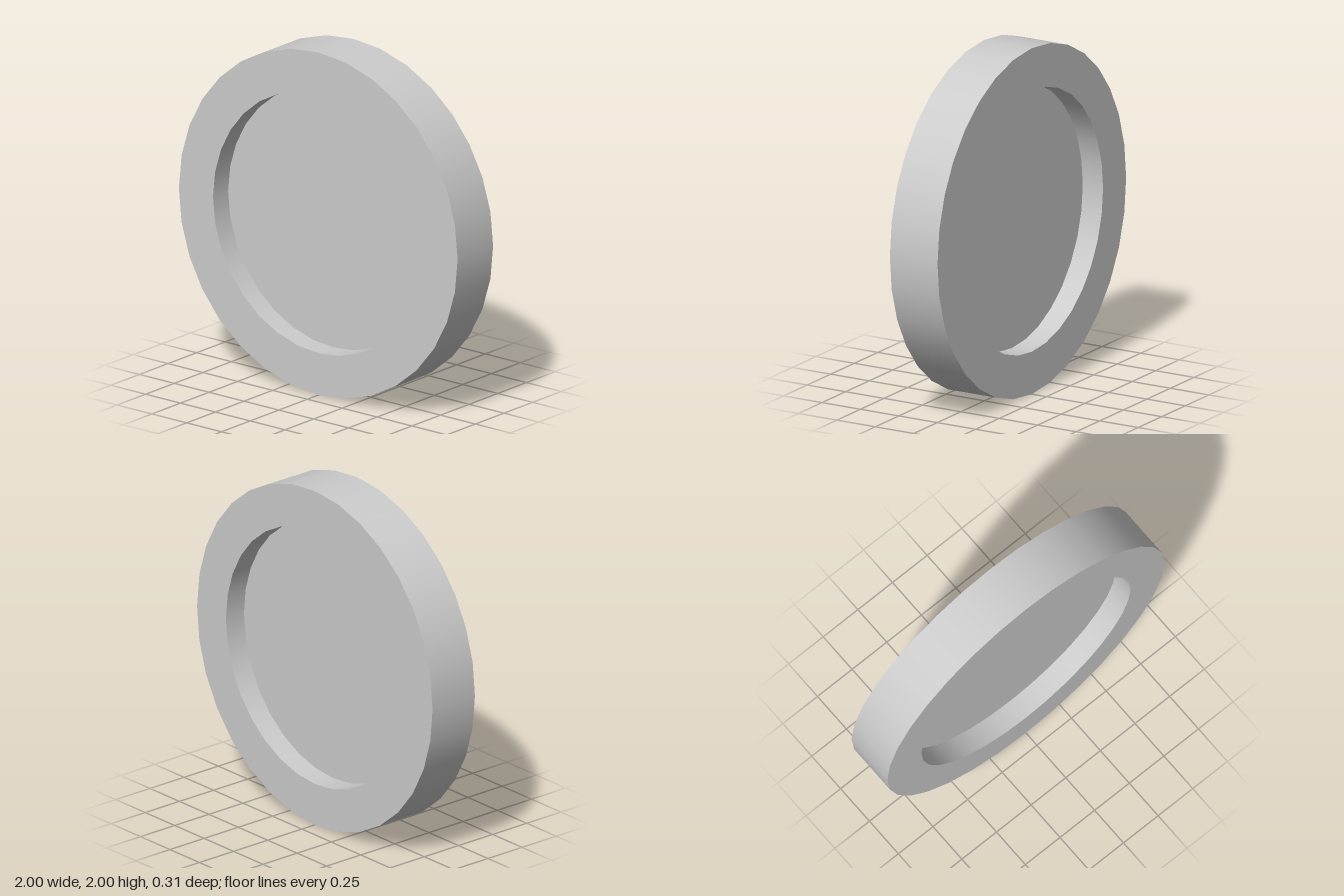
import * as THREE from 'three';
import { mergeGeometries } from 'three/addons/utils/BufferGeometryUtils.js';

const SIDES = 32;
const OUTER = 1, INNER = 0.755; // rim radii
const HALF = 0.155;             // half the rim depth
const FLOOR = 0.023;            // half the panel thickness

// Turns each profile segment separately: smooth around, sharp at the corners
function turn(profile) {
  const parts = [];
  for (let i = 0; i < profile.length - 1; i++) {
    const pair = [profile[i], profile[i + 1]].map(([r, y]) => new THREE.Vector2(r, y));
    parts.push(new THREE.LatheGeometry(pair, SIDES));
  }
  return mergeGeometries(parts).rotateX(Math.PI / 2);
}

export function createModel() {
  const group = new THREE.Group();
  group.name = 'recessedDisc';
  const material = new THREE.MeshStandardMaterial({ color: 0xcccccc });

  const add = (name, profile) => {
    const mesh = new THREE.Mesh(turn(profile), material);
    mesh.name = name;
    mesh.position.y = OUTER;
    group.add(mesh);
  };

  // Rim: recess wall, back face, outer wall, front face, recess wall
  add('rim', [
    [INNER, -FLOOR], [INNER, -HALF], [OUTER, -HALF],
    [OUTER, HALF], [INNER, HALF], [INNER, FLOOR],
  ]);

  // Flat recessed panels on the back and front
  add('backPanel', [[0, -FLOOR], [INNER, -FLOOR]]);
  add('frontPanel', [[INNER, FLOOR], [0, FLOOR]]);

  return group;
}
